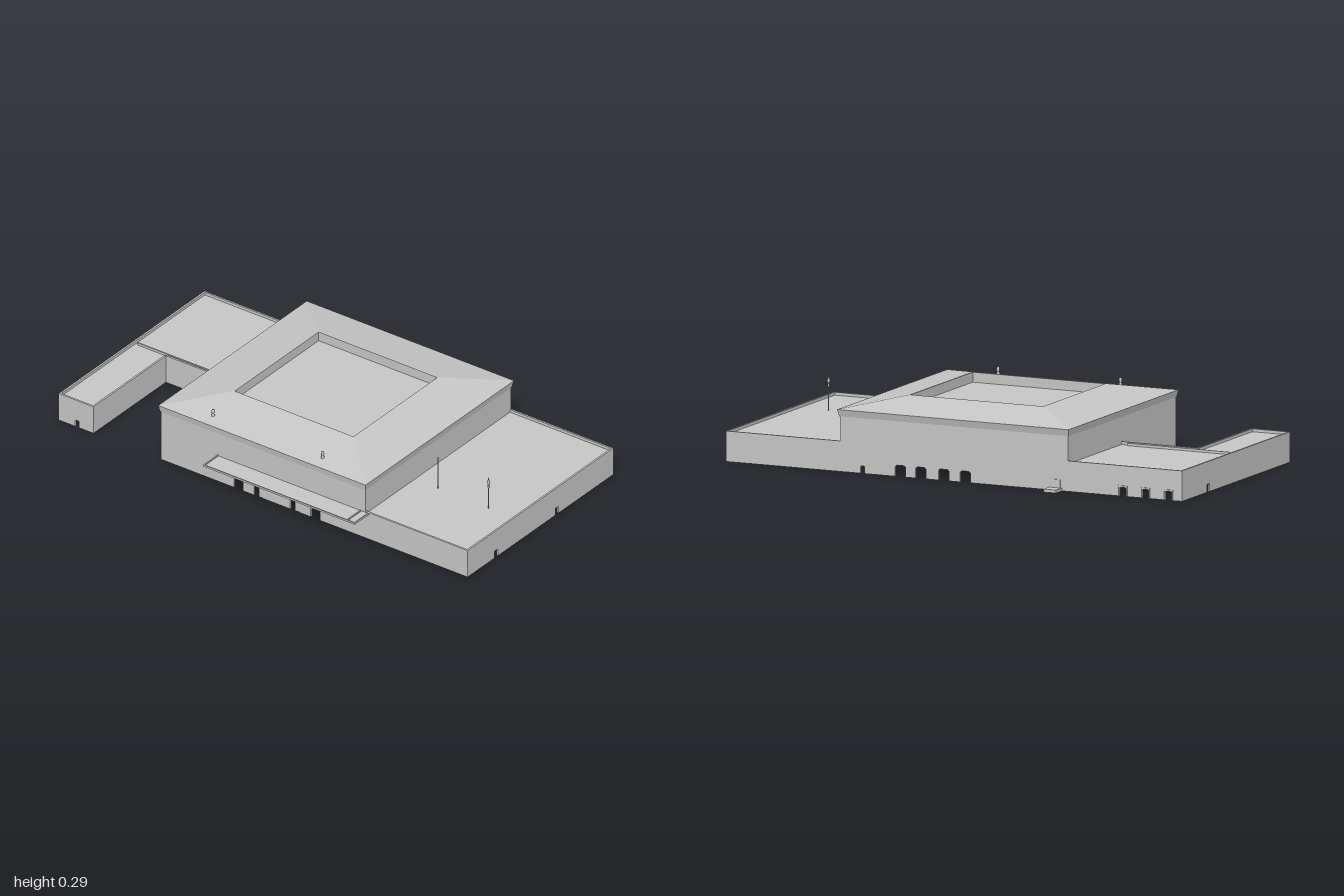
import * as THREE from 'three';

const stone = new THREE.MeshStandardMaterial({ color: 0xc6c6c6, side: THREE.DoubleSide });
stone.name = 'pale grey stone';

const WING = 0.122, MAIN = 0.222, ROOF = 0.11, T = 0.008;

export function createModel() {
  const model = new THREE.Group();

  function add(name, geometry, x = 0, y = 0, z = 0, parent = model) {
    const mesh = new THREE.Mesh(geometry, stone);
    mesh.name = name;
    mesh.position.set(x, y, z);
    parent.add(mesh);
    return mesh;
  }
  const box = (name, w, h, d, x, y, z, parent) =>
    add(name, new THREE.BoxGeometry(w, h, d), x, y, z, parent);

  // Upright wall from a to b (left to right seen from outside), with door
  // notches [centre, width, height] in its foot and a stepped top line.
  function wall(name, [ax, az], [bx, bz], tops, doors = []) {
    const length = Math.hypot(bx - ax, bz - az);
    const shape = new THREE.Shape();
    shape.moveTo(0, 0);
    for (const [c, w, h] of doors) {
      shape.lineTo(c - w / 2, 0);
      shape.lineTo(c - w / 2, h * 0.88);
      shape.lineTo(c - w / 2 + w * 0.15, h);
      shape.lineTo(c + w / 2 - w * 0.15, h);
      shape.lineTo(c + w / 2, h * 0.88);
      shape.lineTo(c + w / 2, 0);
    }
    shape.lineTo(length, 0);
    const line = Array.isArray(tops) ? tops : [[0, tops], [length, tops]];
    for (const [u, y] of [...line].reverse()) shape.lineTo(u, y);
    shape.closePath();
    const g = new THREE.ExtrudeGeometry(shape, { depth: T, bevelEnabled: false });
    g.translate(0, 0, -T);
    g.rotateY(Math.atan2(az - bz, bx - ax));
    add(name, g, ax, 0, az);
  }

  // Flat deck from an x,z outline
  function deck(name, points, y) {
    const shape = new THREE.Shape(points.map(([x, z]) => new THREE.Vector2(x, -z)));
    add(name, new THREE.ShapeGeometry(shape).rotateX(-Math.PI / 2), 0, y, 0);
  }

  // Outer walls
  wall('frontWall', [-0.5, 0.46], [1, 0.46],
    [[0, MAIN], [1, MAIN], [1, WING], [1.5, WING]],
    [[0.38, 0.045, 0.045], [0.478, 0.045, 0.045], [0.655, 0.045, 0.045], [0.755, 0.045, 0.045]]);
  wall('rightEndWall', [1, 0.46], [1, -0.505], WING, [[0.19, 0.022, 0.032], [0.592, 0.022, 0.032]]);
  wall('backWall', [1, -0.505], [-1, -0.505],
    [[0, WING], [0.5, WING], [0.5, MAIN], [1.5, MAIN], [1.5, WING], [2, WING]],
    [[0.6, 0.018, 0.03], [0.765, 0.045, 0.045], [0.855, 0.045, 0.045], [0.955, 0.045, 0.045],
      [1.05, 0.045, 0.045], [1.74, 0.03, 0.035], [1.84, 0.03, 0.035], [1.94, 0.03, 0.035]]);
  wall('leftEndWall', [-1, -0.505], [-1, 0.46], WING, [[0.235, 0.022, 0.032]]);
  wall('armFrontWall', [-1, 0.46], [-0.83, 0.46], WING, [[0.09, 0.018, 0.03]]);
  wall('armInnerWall', [-0.83, 0.46], [-0.83, -0.02], WING);
  wall('wingFrontWall', [-0.83, -0.02], [-0.5, -0.02], WING);
  wall('hallLeftWall', [-0.5, -0.505], [-0.5, 0.46], MAIN);

  // Upper wall of the hall above the right wing
  box('hallRightUpperWall', T, MAIN - ROOF, 0.965, 0.5 - T / 2, (MAIN + ROOF) / 2, -0.0225);

  // Sunken wing roofs and the hall ceiling
  deck('rightWingRoof', [[0.495, 0.458], [0.998, 0.458], [0.998, -0.503], [0.495, -0.503]], ROOF);
  deck('leftWingRoof', [[-0.998, 0.458], [-0.832, 0.458], [-0.832, -0.022], [-0.5, -0.022],
    [-0.5, -0.503], [-0.998, -0.503]], ROOF);
  deck('hallCeiling', [[-0.5, 0.46], [0.5, 0.46], [0.5, -0.505], [-0.5, -0.505]], MAIN);
  box('leftWingKerb', 0.45, 0.01, 0.006, -0.755, ROOF + 0.005, -0.038);

  // Hipped roof: rings of [left, right, back, front, height] joined by quads
  const rings = [
    [-0.495, 0.495, -0.5, 0.455, 0.221],
    [-0.502, 0.502, -0.507, 0.463, 0.221],
    [-0.507, 0.507, -0.515, 0.468, 0.249],
    [-0.297, 0.297, -0.307, 0.262, 0.29],
    [-0.29, 0.29, -0.3, 0.255, 0.29],
    [-0.29, 0.29, -0.3, 0.255, 0.25],
  ].map(([l, r, b, f, y]) => [[l, y, f], [r, y, f], [r, y, b], [l, y, b]]);
  const pos = [];
  for (let i = 0; i + 1 < rings.length; i++) {
    for (let j = 0; j < 4; j++) {
      const k = (j + 1) % 4;
      const [a, b, c, d] = [rings[i][j], rings[i][k], rings[i + 1][k], rings[i + 1][j]];
      pos.push(...a, ...b, ...c, ...a, ...c, ...d);
    }
  }
  const roof = new THREE.BufferGeometry();
  roof.setAttribute('position', new THREE.Float32BufferAttribute(pos, 3));
  roof.computeVertexNormals();
  add('hippedRoof', roof);
  deck('roofCourtFloor', [[-0.29, 0.255], [0.29, 0.255], [0.29, -0.3], [-0.29, -0.3]], 0.25);

  // Front canopy: thin slab with a raised lip
  const canopy = new THREE.Group();
  canopy.name = 'frontCanopy';
  model.add(canopy);
  box('canopySlab', 0.74, 0.004, 0.095, 0.148, 0.116, 0.508, canopy);
  box('canopyFrontLip', 0.74, 0.008, 0.005, 0.148, 0.118, 0.553, canopy);
  for (const x of [-0.22, 0.516]) box('canopySideLip', 0.005, 0.008, 0.095, x, 0.118, 0.508, canopy);
  box('canopyJoint', 0.005, 0.008, 0.08, 0.48, 0.119, 0.505, canopy);

  // Door leaves standing half open in the front doorways
  for (const x of [-0.01, 0.166]) box('doorLeaf', 0.022, 0.042, 0.004, x, 0.021, 0.456);

  // Back step with a jamb beside it, and raised frames on the left wing
  box('backStep', 0.055, 0.012, 0.056, -0.447, 0.006, -0.532);
  box('backDoor', 0.04, 0.045, 0.006, -0.447, 0.0225, -0.507);
  for (const x of [-0.74, -0.84, -0.94]) {
    for (const s of [-1, 1]) box('doorJamb', 0.004, 0.04, 0.006, x + s * 0.018, 0.02, -0.507);
    box('doorHead', 0.04, 0.005, 0.006, x, 0.04, -0.507);
  }

  // Pole and lantern mast on the right wing
  add('pole', new THREE.CylinderGeometry(0.0015, 0.0015, 0.145, 6), 0.615, 0.182, 0.135);
  add('mast', new THREE.CylinderGeometry(0.0015, 0.0015, 0.13, 6), 0.865, 0.175, 0.138);
  const lantern = [[0.001, 0.2], [0.005, 0.21], [0.003, 0.22], [0.007, 0.228], [0.004, 0.238], [0, 0.255]];
  add('lantern', new THREE.LatheGeometry(lantern.map(p => new THREE.Vector2(...p)), 8), 0.865, 0, 0.138);

  // Small finials on the front roof slope
  const finial = [[0.007, 0.255], [0.007, 0.264], [0.004, 0.268], [0.007, 0.278], [0.005, 0.288], [0, 0.289]];
  for (const x of [-0.278, 0.258])
    add('finial', new THREE.LatheGeometry(finial.map(p => new THREE.Vector2(...p)), 8), x, 0, 0.415);

  return model;
}
